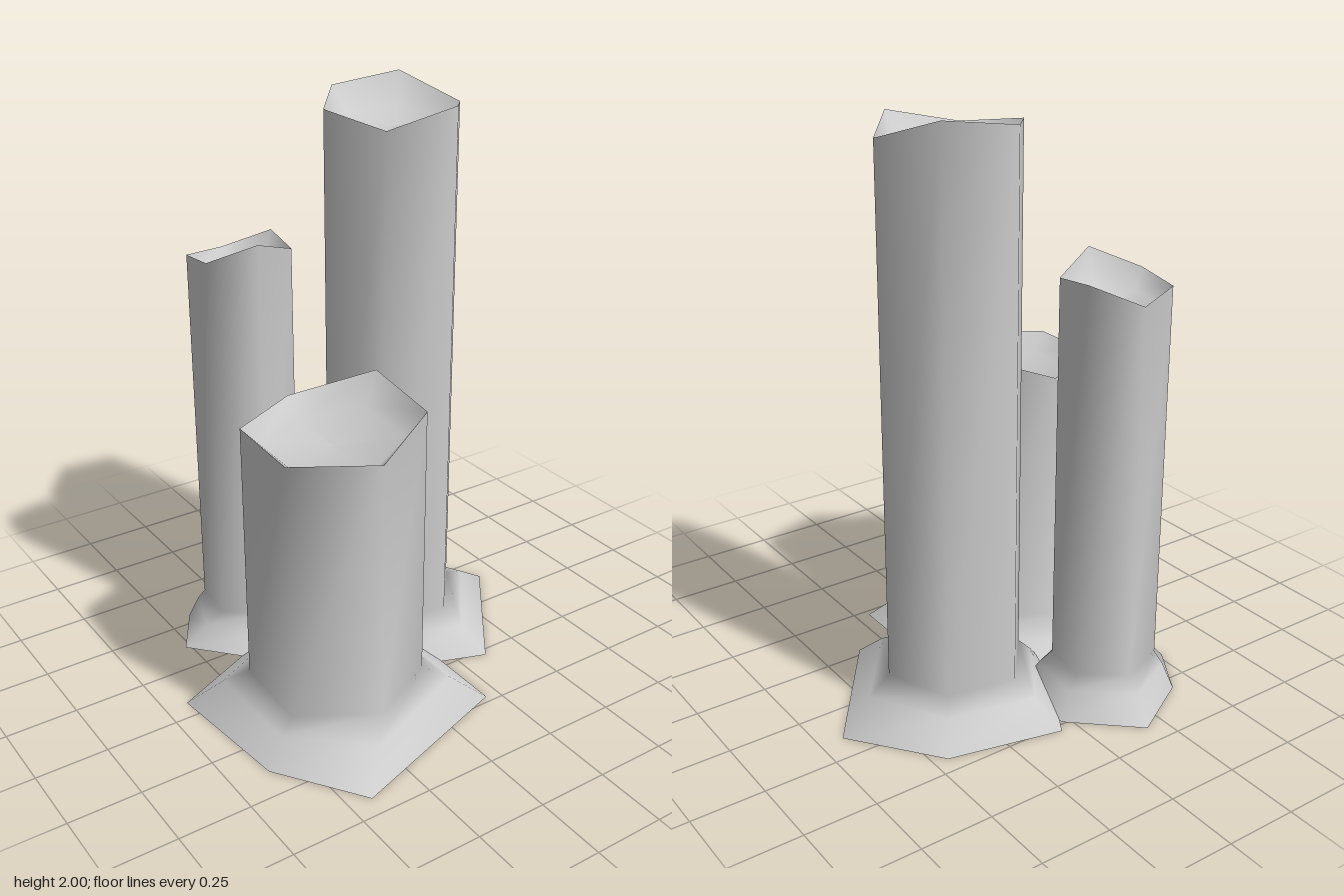
import * as THREE from 'three';

const material = new THREE.MeshStandardMaterial({ color: 0xcccccc, side: THREE.DoubleSide });

// Each column corner: [x, z, rim height, foot x, foot z], clockwise from above.
const columns = {
  tallColumn: [
    [0.125, -0.355, 1.97, 0.06, -0.53],
    [0.365, -0.31, 2.0, 0.45, -0.44],
    [0.45, -0.085, 1.925, 0.67, -0.15],
    [0.295, 0.105, 1.965, 0.355, 0.28],
    [0.05, 0.065, 1.91, 0.0, 0.15],
    [-0.03, -0.165, 1.945, -0.13, -0.2],
  ],
  middleColumn: [
    [-0.2, -0.555, 1.42, -0.18, -0.68],
    [-0.065, -0.45, 1.485, 0.03, -0.49],
    [-0.085, -0.285, 1.465, 0.02, -0.24],
    [-0.25, -0.22, 1.525, -0.28, -0.1],
    [-0.385, -0.325, 1.46, -0.52, -0.37],
    [-0.37, -0.49, 1.44, -0.41, -0.55],
  ],
  shortColumn: [
    [-0.23, -0.09, 1.04, -0.13, -0.32],
    [0.02, 0.06, 1.125, 0.2, -0.1],
    [0.01, 0.355, 1.09, 0.2, 0.475],
    [-0.25, 0.49, 1.035, -0.42, 0.68],
    [-0.5, 0.335, 1.035, -0.62, 0.39],
    [-0.485, 0.04, 1.04, -0.67, -0.075],
  ],
};

// Smooth skin through a stack of rings with equal point counts.
function loft(rings, name) {
  const n = rings[0].length;
  const index = [];
  for (let r = 0; r < rings.length - 1; r++) {
    for (let i = 0; i < n; i++) {
      const a = r * n + i, b = r * n + (i + 1) % n;
      index.push(b, a, a + n, b, a + n, b + n);
    }
  }
  const geometry = new THREE.BufferGeometry();
  geometry.setAttribute('position', new THREE.Float32BufferAttribute(rings.flat(2), 3));
  geometry.setIndex(index);
  geometry.computeVertexNormals();
  const mesh = new THREE.Mesh(geometry, material);
  mesh.name = name;
  return mesh;
}

function createColumn(name, corners) {
  const mean = (k) => corners.reduce((sum, c) => sum + c[k], 0) / corners.length;
  const cx = mean(0), cz = mean(1), top = mean(2);
  const mix = THREE.MathUtils.lerp;

  // Flared foot: t = 0 at the shaft, 1 at the ground edge
  const flare = (t, y) => corners.map(([x, z, , fx, fz]) => [mix(x, fx, t), y, mix(z, fz, t)]);
  const rim = corners.map(([x, z, h]) => [x, h, z]);

  // Sunken top: shrinking rings that level out towards the middle
  const sunk = (scale, depth, level) => corners.map(([x, z, h]) =>
    [mix(cx, x, scale), mix(h, top, level) - depth, mix(cz, z, scale)]);

  const group = new THREE.Group();
  group.name = name;
  group.add(
    loft([flare(1, 0), flare(0.42, 0.088), flare(0, 0.13), rim], 'shaftAndFoot'),
    loft([rim, sunk(0.77, 0.07, 0.6), sunk(0, 0.085, 1)], 'hollowTop'),
  );
  return group;
}

export function createModel() {
  const model = new THREE.Group();
  model.name = 'columnCluster';
  for (const [name, corners] of Object.entries(columns)) model.add(createColumn(name, corners));
  return model;
}
